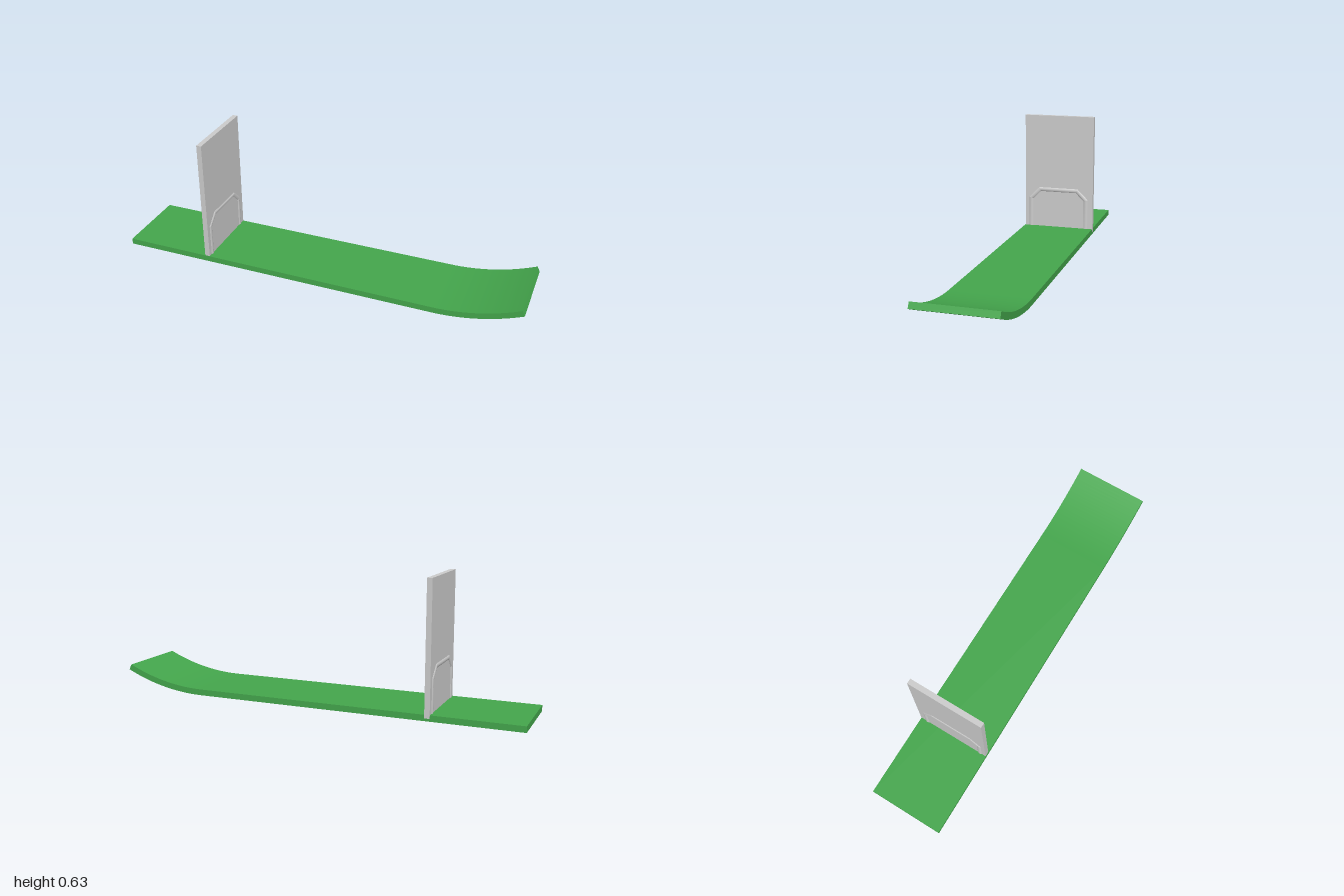
import * as THREE from 'three';
import { mergeGeometries, toCreasedNormals } from 'three/addons/utils/BufferGeometryUtils.js';

// Flat plank whose +x end sweeps up along an arc
function boardGeometry(width) {
  const thick = 0.029, bendX = 0.58, radius = 0.995, angle = 0.435;
  const shape = new THREE.Shape();
  shape.moveTo(-1, 0);
  shape.lineTo(bendX, 0);
  shape.absarc(bendX, radius, radius, -Math.PI / 2, -Math.PI / 2 + angle, false);
  shape.absarc(bendX, radius, radius - thick, -Math.PI / 2 + angle, -Math.PI / 2, true);
  shape.lineTo(-1, thick);
  shape.closePath();
  const geo = new THREE.ExtrudeGeometry(shape, { depth: width, bevelEnabled: false, curveSegments: 12 });
  geo.translate(0, 0, -width / 2);
  return toCreasedNormals(geo, 0.4);
}

// Round bar with mitred corners along a path of (z, y) points
function mitredBar(path, radius, sides = 24) {
  const normals = path.slice(1).map((p, i) => {
    const d = p.clone().sub(path[i]).normalize();
    return new THREE.Vector2(-d.y, d.x);
  });
  const mitre = path.map((p, i) => {
    const a = normals[Math.max(i - 1, 0)];
    const b = normals[Math.min(i, normals.length - 1)];
    const m = a.clone().add(b).normalize();
    return m.divideScalar(m.dot(b));
  });
  const segments = normals.map((n, s) => {
    const pos = [], index = [];
    for (let k = 0; k < sides; k++) {
      const t = (k / sides) * Math.PI * 2;
      for (const j of [s, s + 1]) {
        const p = path[j].clone().addScaledVector(mitre[j], radius * Math.cos(t));
        pos.push(radius * Math.sin(t), p.y, p.x);
      }
      const a = 2 * k, b = 2 * ((k + 1) % sides);
      index.push(a, a + 1, b, b, a + 1, b + 1);
    }
    const geo = new THREE.BufferGeometry();
    geo.setAttribute('position', new THREE.Float32BufferAttribute(pos, 3));
    geo.setIndex(index);
    geo.computeVertexNormals();
    return geo;
  });
  return mergeGeometries(segments);
}

export function createModel() {
  const group = new THREE.Group();
  const green = new THREE.MeshStandardMaterial({ color: 0x44a64c });
  const grey = new THREE.MeshStandardMaterial({ color: 0xcccccc });
  const greyOpen = new THREE.MeshStandardMaterial({ color: 0xcccccc, side: THREE.DoubleSide });
  const add = (name, geo, mat, x, y, z) => {
    const mesh = new THREE.Mesh(geo, mat);
    mesh.name = name;
    mesh.position.set(x, y, z);
    group.add(mesh);
  };
  const postX = -0.566;

  add('board', boardGeometry(0.372), green, 0, 0, 0.001);

  // Upright panel, sunk into the board
  add('uprightPanel', new THREE.BoxGeometry(0.025, 0.62, 0.372), grey, postX, 0.323, -0.001);

  // Hoop rail running through the panel, standing proud on both faces
  const half = [[0.151, 0.012], [0.151, 0.183], [0.101, 0.2325]];
  const path = [...half, ...half.map(([z, y]) => [-z, y]).reverse()]
    .map(([z, y]) => new THREE.Vector2(z, y));
  add('hoopRail', mitredBar(path, 0.0165), greyOpen, postX, 0, 0.002);

  return group;
}
